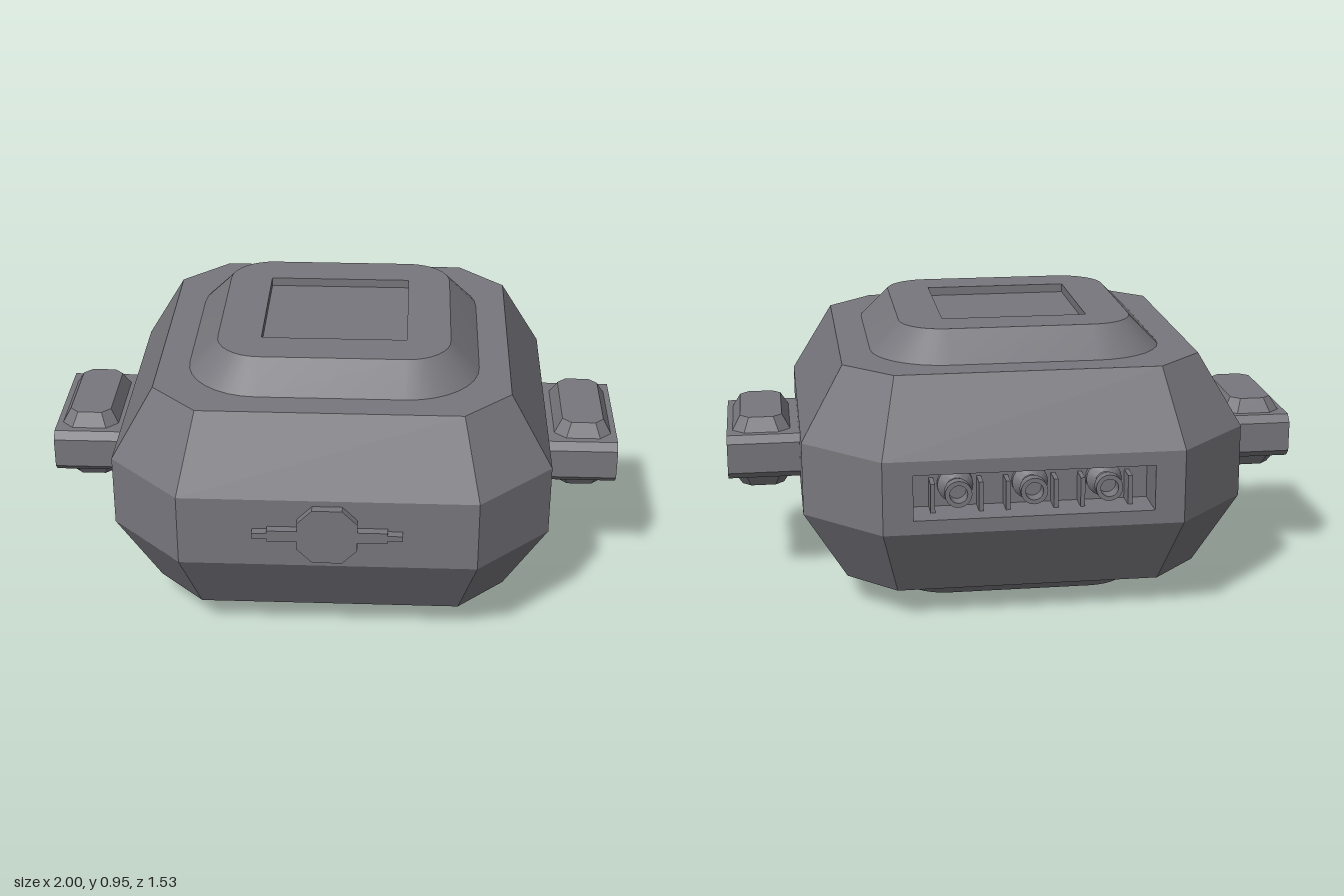
import * as THREE from 'three';
import { toCreasedNormals } from 'three/addons/utils/BufferGeometryUtils.js';

const material = new THREE.MeshStandardMaterial({ color: 0x77777d });

function mesh(name, geometry) {
  const m = new THREE.Mesh(geometry, material);
  m.name = name;
  return m;
}

// Chamfered rectangle at height y, counter-clockwise seen from above
function octagon(w, d, c, y) {
  return [
    [w, d - c], [w, c - d], [w - c, -d], [c - w, -d],
    [-w, c - d], [-w, d - c], [c - w, d], [w - c, d],
  ].map(([x, z]) => new THREE.Vector3(x, y, z));
}

// Rounded square at height y, same direction; r = 0 gives sharp corners
function roundedSquare(h, r, y, n = 8) {
  const ring = [];
  for (let q = 0; q < 4; q++) {
    const mid = (q + 0.5) * Math.PI / 2;
    const cx = Math.sign(Math.cos(mid)) * (h - r);
    const cz = -Math.sign(Math.sin(mid)) * (h - r);
    for (let i = 0; i <= n; i++) {
      const a = (q + i / n) * Math.PI / 2;
      ring.push(new THREE.Vector3(cx + r * Math.cos(a), y, cz - r * Math.sin(a)));
    }
  }
  return ring;
}

// Skin over rings, optionally capped; skip(ringIndex, sideIndex) leaves a side open
function loft(rings, { bottom = false, top = false, skip = () => false } = {}) {
  const pos = [];
  const tri = (a, b, c) => {
    const area = new THREE.Triangle(a, b, c).getArea();
    if (area > 1e-7) for (const p of [a, b, c]) pos.push(p.x, p.y, p.z);
  };
  const n = rings[0].length;
  for (let j = 0; j < rings.length - 1; j++) {
    for (let i = 0; i < n; i++) {
      if (skip(j, i)) continue;
      const k = (i + 1) % n, lo = rings[j], hi = rings[j + 1];
      tri(lo[i], lo[k], hi[k]);
      tri(lo[i], hi[k], hi[i]);
    }
  }
  const first = rings[0], last = rings[rings.length - 1];
  for (let i = 1; i < n - 1; i++) {
    if (bottom) tri(first[0], first[i + 1], first[i]);
    if (top) tri(last[0], last[i], last[i + 1]);
  }
  const g = new THREE.BufferGeometry();
  g.setAttribute('position', new THREE.Float32BufferAttribute(pos, 3));
  return toCreasedNormals(g, 0.4);
}

function polygon(points) {
  return new THREE.Shape(points.map(([x, y]) => new THREE.Vector2(x, y)));
}

// Raised rounded platform with a shallow square recess
function platform(name) {
  return mesh(name, loft([
    roundedSquare(0.5, 0.25, 0.375), roundedSquare(0.4, 0.15, 0.475),
    roundedSquare(0.25, 0, 0.475), roundedSquare(0.25, 0, 0.445),
  ], { top: true }));
}

// Side arm with a bevelled pad above and below
function sideArm(name) {
  const g = new THREE.Group();
  g.name = name;
  const bar = loft([octagon(0.0775, 0.25, 0.025, 0.75), octagon(0.0775, 0.25, 0.025, 1)],
    { bottom: true, top: true });
  g.add(mesh('armBar', bar.rotateZ(-Math.PI / 2)));
  for (const flip of [0, Math.PI]) {
    const pad = mesh(flip ? 'lowerPad' : 'upperPad', loft(
      [octagon(0.1, 0.2, 0.04, 0.0775), octagon(0.0725, 0.17, 0.03, 0.125)], { top: true }));
    pad.position.x = 0.88;
    pad.rotation.x = flip;
    g.add(pad);
  }
  return g;
}

// Wall around the rear slot, the slot itself, and its row of sockets
function rearBay() {
  const g = new THREE.Group();
  g.name = 'rearBay';
  const wall = polygon([[-0.5, -0.125], [0.5, -0.125], [0.5, 0.125], [-0.5, 0.125]]);
  wall.holes.push(polygon([[-0.4, -0.0775], [-0.4, 0.0775], [0.4, 0.0775], [0.4, -0.0775]]));
  g.add(mesh('rearWall', new THREE.ShapeGeometry(wall).rotateY(Math.PI).translate(0, 0, -0.75)));
  const slot = loft([octagon(0.4, 0.0775, 0, 0.75), octagon(0.4, 0.0775, 0, 0.61)], { top: true });
  g.add(mesh('rearSlot', slot.rotateX(-Math.PI / 2)));

  const profile = [[0.06, 0], [0.06, 0.02], [0.035, 0.05], [0.035, 0.08],
    [0.045, 0.085], [0.045, 0.12], [0.03, 0.12], [0.03, 0.07], [0, 0.07]]
    .map(([x, y]) => new THREE.Vector2(x, y));
  for (const x of [-0.25, 0, 0.25]) {
    const socket = toCreasedNormals(new THREE.LatheGeometry(profile, 20), 0.5);
    g.add(mesh('socket', socket.rotateX(-Math.PI / 2).translate(x, 0, -0.61)));
    for (const s of [-1, 1]) {
      g.add(mesh('socketDivider',
        new THREE.BoxGeometry(0.015, 0.1, 0.07).translate(x + s * 0.08, -0.0275, -0.645)));
    }
  }
  return g;
}

// Front latch plate: octagon with stepped arms
function latch() {
  const quarter = [[0.25, 0.01], [0.2, 0.01], [0.2, 0.02], [0.1, 0.02], [0.1, 0.05], [0.05, 0.1]];
  const half = [...quarter, ...quarter.map(([x, y]) => [-x, y]).reverse()];
  const outline = [...half, ...half.map(([x, y]) => [x, -y]).reverse()];
  const g = new THREE.ExtrudeGeometry(polygon(outline), { depth: 0.03, bevelEnabled: false });
  return mesh('frontLatch', g.translate(0, 0.005, 0.75));
}

export function createModel() {
  const model = new THREE.Group();
  model.name = 'case';
  const inner = new THREE.Group();
  inner.name = 'caseParts';
  inner.position.set(0, 0.475, -0.015);
  model.add(inner);

  // Faceted shell, open where the rear wall sits
  inner.add(mesh('shell', loft([
    octagon(0.605, 0.605, 0.16, -0.375), octagon(0.75, 0.75, 0.25, -0.125),
    octagon(0.75, 0.75, 0.25, 0.125), octagon(0.605, 0.605, 0.16, 0.375),
  ], { bottom: true, top: true, skip: (j, i) => j === 1 && i === 2 })));

  const base = platform('bottomPlatform');
  base.rotation.x = Math.PI;
  const rightArm = sideArm('rightArm');
  rightArm.rotation.y = Math.PI;
  inner.add(platform('topPlatform'), base, sideArm('leftArm'), rightArm, rearBay(), latch());
  return model;
}
